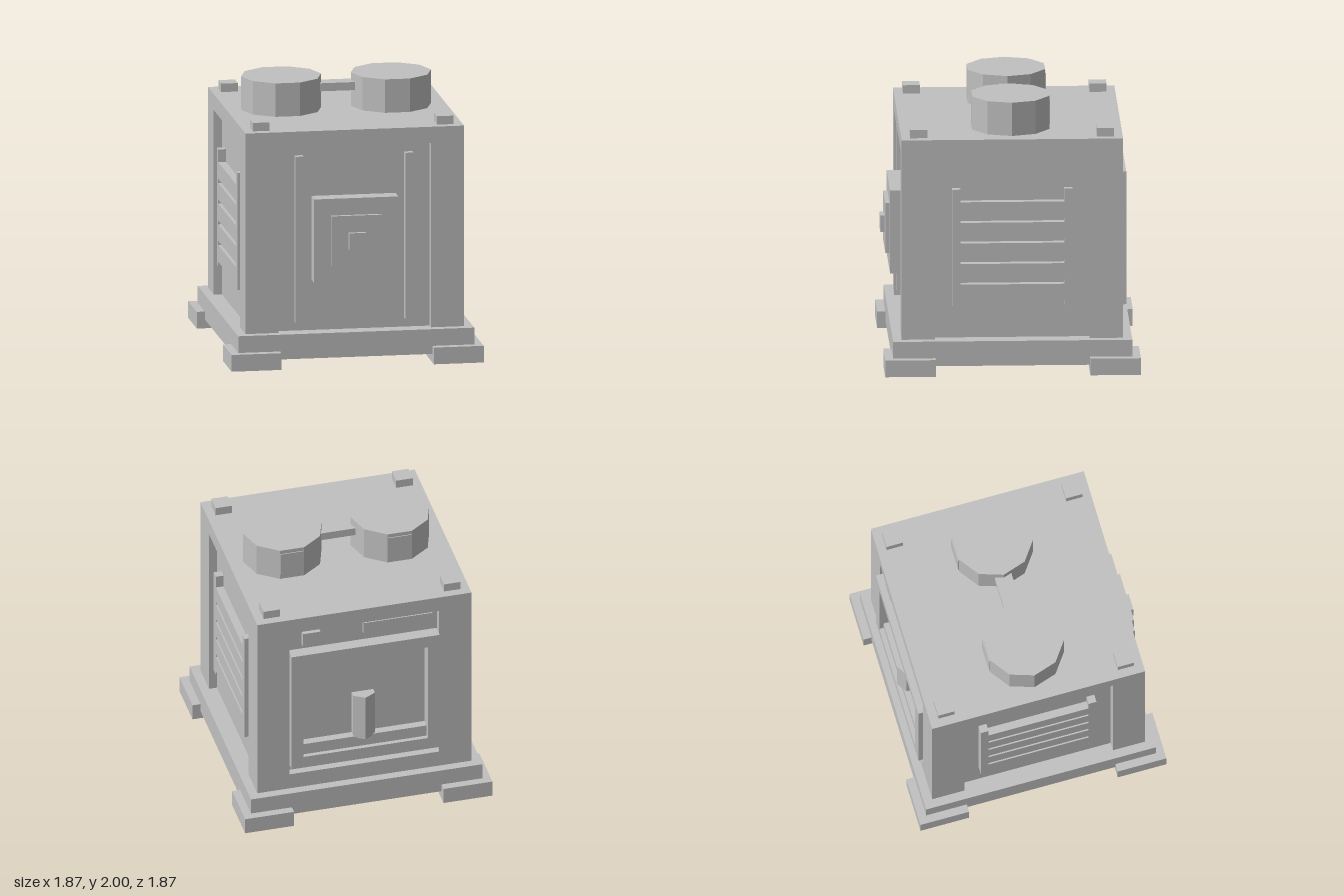
import * as THREE from 'three';

export function createModel() {
  const model = new THREE.Group();
  model.name = 'machineBlock';
  const grey = new THREE.MeshStandardMaterial({ color: 0xc0c0c0 });
  grey.name = 'plain grey';

  const add = (name, geometry, parent = model) => {
    const mesh = new THREE.Mesh(geometry, grey);
    mesh.name = name;
    parent.add(mesh);
    return mesh;
  };
  // Box given by its limits on each axis
  const box = (name, x0, x1, y0, y1, z0, z1, parent) =>
    add(name, new THREE.BoxGeometry(x1 - x0, y1 - y0, z1 - z0), parent)
      .position.set((x0 + x1) / 2, (y0 + y1) / 2, (z0 + z1) / 2);
  // Box given by its centre in x and z
  const block = (name, x, z, size, y0, y1) =>
    box(name, x - size / 2, x + size / 2, y0, y1, z - size / 2, z + size / 2);

  // Base and body with a shallow recess on every side
  box('base', -0.875, 0.875, 0.065, 0.25, -0.875, 0.875);
  box('core', -0.75, 0.75, 0.25, 1.63, -0.75, 0.75);
  box('topSlab', -0.81, 0.81, 1.63, 1.75, -0.81, 0.81);

  // Four corners: foot, pillar and roof stud
  for (const sx of [-1, 1]) {
    for (const sz of [-1, 1]) {
      block('foot', sx * 0.75, sz * 0.75, 0.37, 0, 0.125);
      block('cornerPillar', sx * 0.6875, sz * 0.6875, 0.245, 0.25, 1.63);
      block('roofStud', sx * 0.6825, sz * 0.6825, 0.125, 1.75, 1.813);
    }
  }

  // Front: two rails and a stepped square boss
  for (const s of [-1, 1]) {
    box('frontRail', s * 0.407 - 0.03, s * 0.407 + 0.03, 0.315, 1.56, 0.74, 0.8);
  }
  for (const [half, front] of [[0.3125, 0.875], [0.1875, 0.905], [0.0625, 0.936]]) {
    box('frontBoss', -half, half, 0.94 - half, 0.94 + half, 0.74, front);
  }

  // Both sides: vent with two posts and five slats
  for (const s of [-1, 1]) {
    const vent = new THREE.Group();
    vent.name = s > 0 ? 'leftVent' : 'rightVent';
    for (const e of [-1, 1]) {
      box('ventPost', 0.74, 0.808, 0.5, 1.375, e * 0.41 - 0.03, e * 0.41 + 0.03, vent);
    }
    for (let i = 0; i < 5; i++) {
      const y = 0.535 + i * 0.155;
      box('ventSlat', 0.74, 0.808, y, y + 0.125, -0.38, 0.38, vent);
    }
    if (s < 0) vent.rotation.y = Math.PI;
    model.add(vent);
  }

  // Back: sill, hatch frame, ledge and handle
  box('backSill', -0.565, 0.565, 0.25, 0.375, -0.81, -0.74);
  const frame = new THREE.Shape([
    [-0.56, 0.44], [0.56, 0.44], [0.56, 1.44], [-0.56, 1.44],
  ].map(([x, y]) => new THREE.Vector2(x, y)));
  frame.holes.push(new THREE.Path([
    [-0.47, 0.535], [-0.47, 1.345], [0.47, 1.345], [0.47, 0.535],
  ].map(([x, y]) => new THREE.Vector2(x, y))));
  add('hatchFrame', new THREE.ExtrudeGeometry(frame, { depth: 0.1, bevelEnabled: false }))
    .position.z = -0.843;
  box('hatchLedge', -0.47, 0.47, 0.53, 0.625, -0.81, -0.74);
  const handleShape = new THREE.CylinderGeometry(0.095, 0.095, 0.37, 6).toNonIndexed();
  handleShape.computeVertexNormals();
  add('hatchHandle', handleShape).position.set(0, 0.795, -0.75);

  // Back: small fittings above the hatch
  box('backSwitch', 0.33, 0.46, 1.48, 1.6, -0.8, -0.74);
  box('backBar', -0.52, 0, 1.51, 1.605, -0.785, -0.74);

  // Roof: two ten-sided drums with rear plates and a link between them
  const drum = new THREE.CylinderGeometry(0.297, 0.297, 0.25, 10).toNonIndexed();
  drum.rotateY(Math.PI / 2);
  drum.computeVertexNormals();
  for (const s of [-1, 1]) {
    add('drum', drum).position.set(s * 0.407, 1.875, 0);
    box('drumPlate', s * 0.407 - 0.09, s * 0.407 + 0.09, 1.785, 1.97, -0.289, -0.281);
  }
  box('drumLink', -0.13, 0.13, 1.88, 1.94, -0.063, 0.063);

  return model;
}
